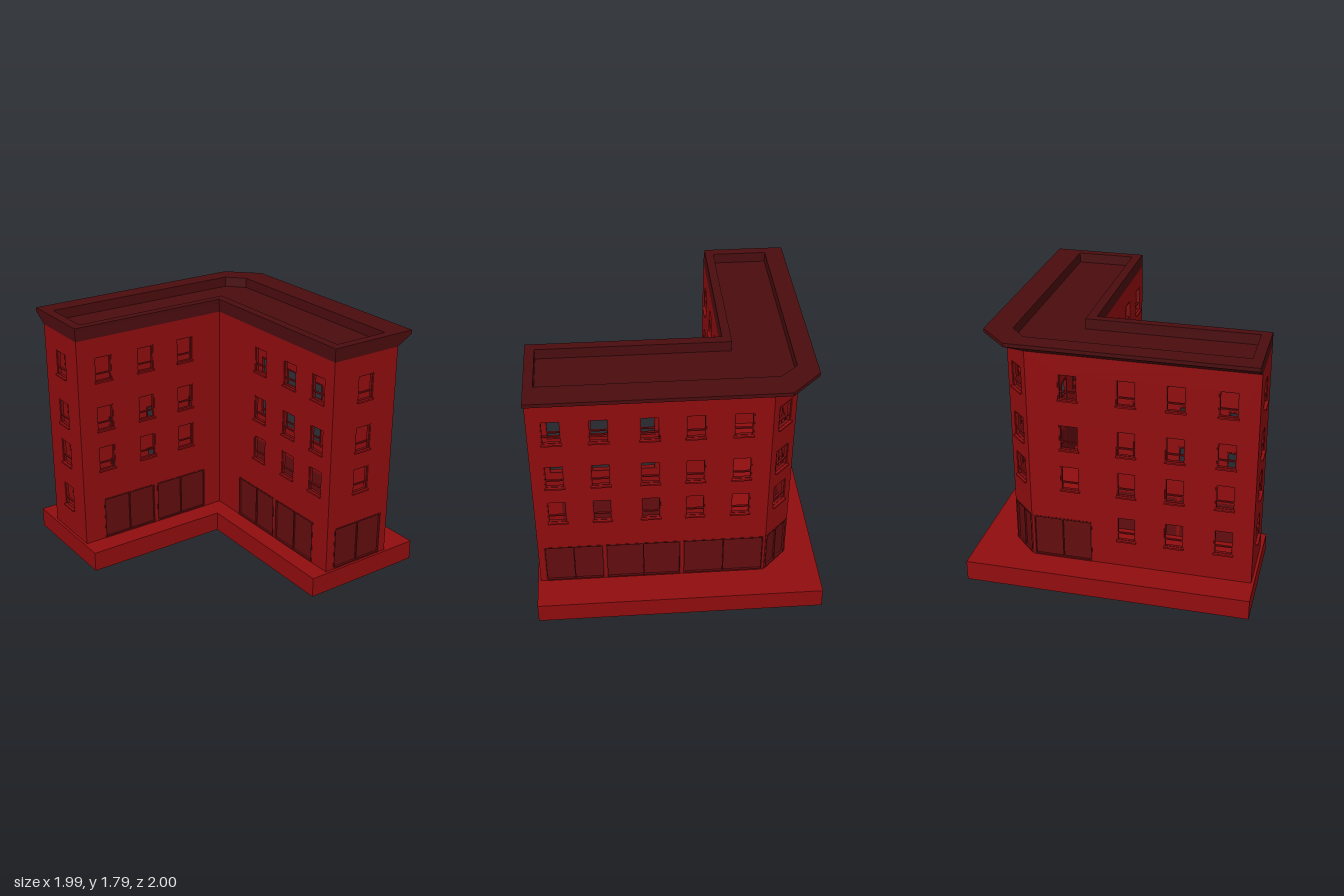
import * as THREE from 'three';

const paint = (color, side = THREE.FrontSide) => new THREE.MeshStandardMaterial({ color, side, flatShading: true });
const wallMat = paint(0x900c0e);
const frameMat = paint(0x780c0e);
const shopMat = paint(0x620c0e);
const roofMat = paint(0x4a0c0e, THREE.DoubleSide);

const WALL_TOP = 1.70, PLINTH = 0.145, SHOP_TOP = 0.465, THICK = 0.02;
const WIN_W = 0.132, WIN_H = 0.187;
const UPPER = [0.695, 1.005, 1.375];
const ALL = [0.345, ...UPPER];

// Plans as [x, z] corners, counterclockwise seen from above
const wallPlan = [[-0.98, -0.32], [0.2, -0.32], [0.2, 0.98], [0.745, 0.98], [0.745, -0.61], [0.565, -0.79], [-0.98, -0.79]];
const eavePlan = [[-0.98, -0.325], [0.2, -0.325], [0.2, 0.98], [0.865, 0.98], [0.865, -0.7], [0.66, -0.905], [-0.98, -0.905]];
const roofPlan = [[-0.91, -0.385], [0.265, -0.385], [0.265, 0.915], [0.68, 0.915], [0.68, -0.65], [0.57, -0.77], [-0.91, -0.77]];
const plinthPlan = [[-1, -0.165], [0.07, -0.165], [0.07, 1], [0.99, 1], [0.99, -1], [-1, -1]];

// One entry per wall: window columns [u, sill heights] and shop fronts [u0, u1]
const facades = [
  { name: 'courtyardBackWall', windows: [[0.2, UPPER], [0.54, UPPER], [0.87, UPPER]], shops: [[0.16, 0.59], [0.61, 1.04]] },
  { name: 'courtyardSideWall', windows: [[0.51, UPPER], [0.84, UPPER], [1.145, UPPER]], shops: [[0.26, 0.69], [0.71, 1.14]] },
  { name: 'frontEndWall', windows: [[0.275, UPPER]], shops: [[0.065, 0.49]] },
  { name: 'streetWall', windows: [0.155, 0.46, 0.79, 1.09, 1.4].map((u) => [u, UPPER]), shops: [[0.04, 0.455], [0.47, 0.995], [1.01, 1.58]] },
  { name: 'cornerWall', windows: [[0.127, UPPER]], shops: [[0.012, 0.243]] },
  { name: 'backWall', windows: [[0.285, UPPER], [0.675, ALL], [1.005, ALL], [1.345, ALL]], shops: [[0.012, 0.43]] },
  { name: 'sideEndWall', windows: [[0.235, ALL]], shops: [] },
];

function add(parent, name, geometry, material) {
  const mesh = new THREE.Mesh(geometry, material);
  mesh.name = name;
  parent.add(mesh);
  return mesh;
}

// Box between two corners of a wall, from depth z0 to z1
function bar(parent, name, material, u0, u1, y0, y1, z0, z1) {
  add(parent, name, new THREE.BoxGeometry(u1 - u0, y1 - y0, z1 - z0), material)
    .position.set((u0 + u1) / 2, (y0 + y1) / 2, (z0 + z1) / 2);
}

function rectangle(Type, u0, u1, y0, y1) {
  return new Type([[u0, y0], [u1, y0], [u1, y1], [u0, y1]].map((p) => new THREE.Vector2(...p)));
}

// Rectangular border lying inside the given opening
function border(parent, name, material, u0, u1, y0, y1, t, z0, z1) {
  const shape = rectangle(THREE.Shape, u0, u1, y0, y1);
  shape.holes.push(rectangle(THREE.Path, u0 + t, u1 - t, y0 + t, y1 - t));
  const geometry = new THREE.ExtrudeGeometry(shape, { depth: z1 - z0, bevelEnabled: false });
  add(parent, name, geometry, material).position.z = z0;
}

function makeWindow(parent, u, y) {
  const g = new THREE.Group();
  g.name = 'window';
  const h = WIN_W / 2;
  border(g, 'windowFrame', frameMat, u - h, u + h, y, y + WIN_H, 0.009, -0.025, -0.004);
  bar(g, 'sashBar', frameMat, u - h, u + h, y + 0.054, y + 0.063, -0.022, -0.008);
  bar(g, 'windowSill', wallMat, u - h - 0.003, u + h + 0.003, y - 0.005, y + 0.006, -0.025, 0.015);
  parent.add(g);
}

function makeShopFront(parent, u0, u1) {
  const g = new THREE.Group();
  g.name = 'shopFront';
  const mid = (u0 + u1) / 2;
  bar(g, 'shopPane', shopMat, u0, u1, PLINTH, SHOP_TOP, -0.02, -0.012);
  border(g, 'shopFrame', shopMat, u0, u1, PLINTH, SHOP_TOP, 0.01, -0.015, 0.002);
  bar(g, 'shopMullion', shopMat, mid - 0.004, mid + 0.004, PLINTH, SHOP_TOP, -0.015, -0.002);
  parent.add(g);
}

// Pierced wall from a to b, its outer face on local z = 0
function makeFacade(a, b, { name, windows, shops }) {
  const g = new THREE.Group();
  g.name = name;
  const length = Math.hypot(b[0] - a[0], b[1] - a[1]);
  const shape = rectangle(THREE.Shape, 0, length, PLINTH - 0.01, WALL_TOP);
  for (const [u, rows] of windows) {
    for (const y of rows) {
      shape.holes.push(rectangle(THREE.Path, u - WIN_W / 2, u + WIN_W / 2, y, y + WIN_H));
      makeWindow(g, u, y);
    }
  }
  for (const [u0, u1] of shops) {
    shape.holes.push(rectangle(THREE.Path, u0, u1, PLINTH, SHOP_TOP));
    makeShopFront(g, u0, u1);
  }
  add(g, 'wall', new THREE.ExtrudeGeometry(shape, { depth: THICK, bevelEnabled: false }), wallMat).position.z = -THICK;
  g.position.set(a[0], 0, a[1]);
  g.rotation.y = Math.atan2(a[1] - b[1], b[0] - a[0]);
  return g;
}

const planShape = (plan) => new THREE.Shape(plan.map(([x, z]) => new THREE.Vector2(x, -z)));

// Skin joining matching rings of corners, given as [plan, height]
function loft(rings) {
  const points = [];
  for (let r = 0; r < rings.length - 1; r++) {
    const n = rings[r][0].length;
    const at = (k, j) => [rings[k][0][j % n][0], rings[k][1], rings[k][0][j % n][1]];
    for (let j = 0; j < n; j++) {
      const [a, b, c, d] = [at(r, j), at(r, j + 1), at(r + 1, j + 1), at(r + 1, j)];
      points.push(...a, ...b, ...c, ...a, ...c, ...d);
    }
  }
  const geometry = new THREE.BufferGeometry();
  geometry.setAttribute('position', new THREE.Float32BufferAttribute(points, 3));
  geometry.computeVertexNormals();
  return geometry;
}

export function createModel() {
  const model = new THREE.Group();
  model.name = 'cornerBuilding';

  // Plinth
  const plinth = new THREE.ExtrudeGeometry(planShape(plinthPlan), { depth: PLINTH, bevelEnabled: false });
  add(model, 'plinth', plinth.rotateX(-Math.PI / 2), wallMat);

  // Walls with windows and shop fronts
  facades.forEach((f, i) => model.add(makeFacade(wallPlan[i], wallPlan[(i + 1) % wallPlan.length], f)));

  // Sloping cornice, parapet and sunken roof
  add(model, 'cornice', loft([[wallPlan, WALL_TOP], [eavePlan, 1.767], [eavePlan, 1.793], [roofPlan, 1.793], [roofPlan, 1.72]]), roofMat);
  const roof = new THREE.ShapeGeometry(planShape(roofPlan)).rotateX(-Math.PI / 2);
  add(model, 'roof', roof, roofMat).position.y = 1.72;

  return model;
}
